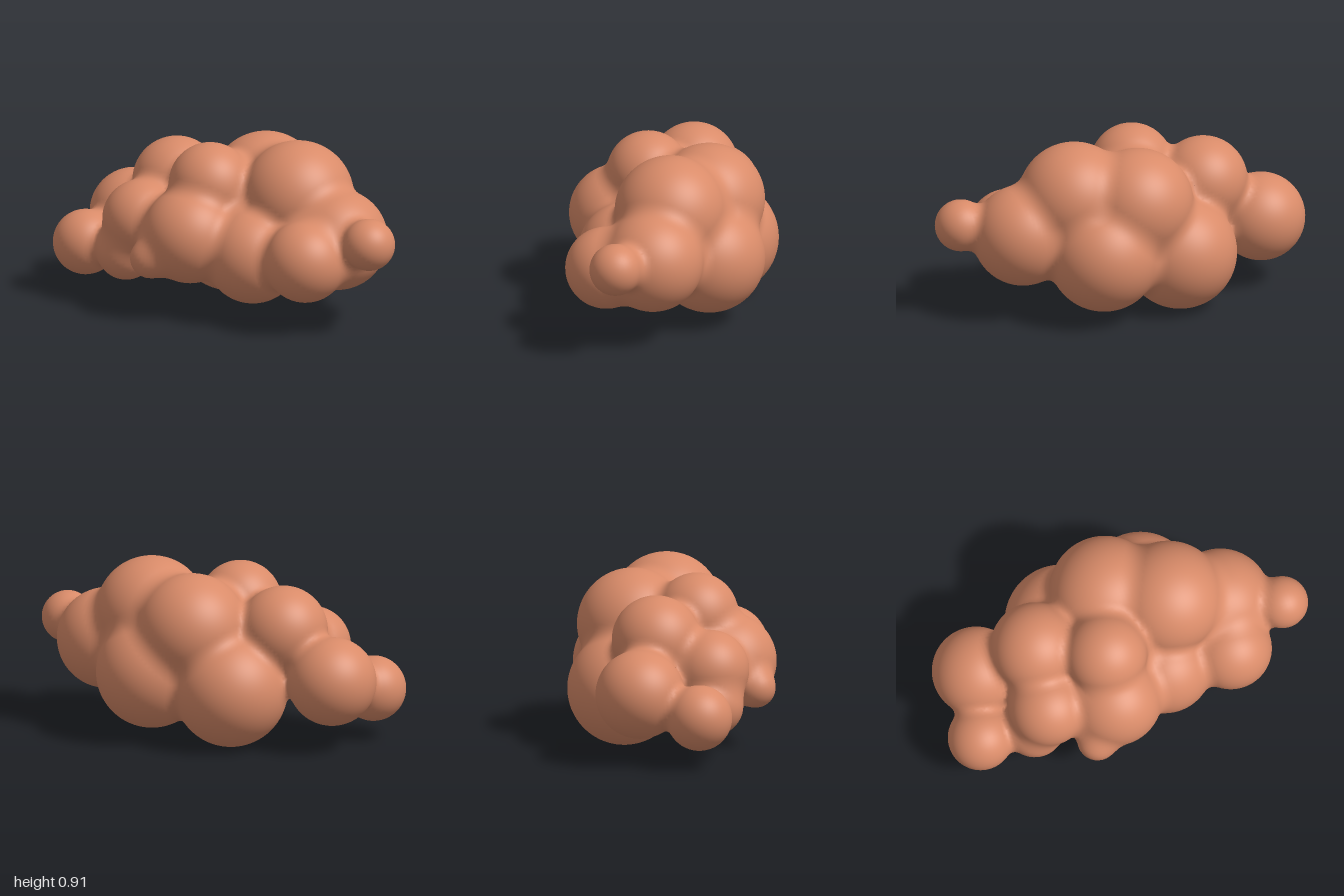
import * as THREE from 'three';

// Puffs of the cloud: x, y, z, radius
const puffs = [
  [0.865, 0.49, 0.135, 0.135],   // right tip
  [-0.83, 0.264, 0.18, 0.17],    // left tip
  [-0.73, 0.365, -0.135, 0.23],  // left back
  [-0.21, 0.295, -0.25, 0.295],  // lower back
  [0.23, 0.35, -0.255, 0.29],
  [0.02, 0.59, -0.22, 0.29],     // upper back
  [0.31, 0.62, -0.065, 0.29],    // crown
  [-0.11, 0.67, 0.12, 0.215],
  [-0.43, 0.595, -0.07, 0.23],
  [-0.47, 0.45, 0.21, 0.205],    // front row
  [-0.55, 0.275, 0.235, 0.155],
  [-0.28, 0.32, 0.435, 0.105],
  [-0.13, 0.43, 0.285, 0.25],
  [0.19, 0.345, 0.185, 0.25],
  [0.54, 0.375, 0.235, 0.213],
  [0.58, 0.44, -0.015, 0.262],   // right shoulder
  [0, 0.45, 0, 0.27],            // core
];
const BLEND = 0.06;

// Distance to the softly merged puffs
function field(x, y, z) {
  let d = 10;
  for (const [px, py, pz, r] of puffs) {
    const s = Math.hypot(x - px, y - py, z - pz) - r;
    const h = Math.max(BLEND - Math.abs(d - s), 0);
    d = Math.min(d, s) - (h * h) / (4 * BLEND);
  }
  return d;
}

function gradient(x, y, z) {
  const e = 0.002;
  return new THREE.Vector3(
    field(x + e, y, z) - field(x - e, y, z),
    field(x, y + e, z) - field(x, y - e, z),
    field(x, y, z + e) - field(x, y, z - e),
  ).normalize();
}

// Grid skin: one vertex per surface cell, one quad per crossed grid edge
function skin(h, min, size) {
  const [nx, ny, nz] = size.map((s) => Math.ceil(s / h));
  const step = [1, nx, nx * ny];
  const at = (i, j, k) => i + j * step[1] + k * step[2];
  const values = new Float32Array(nx * ny * nz);
  for (let k = 0; k < nz; k++)
    for (let j = 0; j < ny; j++)
      for (let i = 0; i < nx; i++)
        values[at(i, j, k)] = field(min[0] + i * h, min[1] + j * h, min[2] + k * h);

  const positions = [], normals = [], indices = [], made = new Map();
  // Pull a cell's centre onto the surface
  const vertex = (cell) => {
    if (made.has(cell)) return made.get(cell);
    const i = cell % nx, j = Math.floor(cell / nx) % ny, k = Math.floor(cell / step[2]);
    const p = new THREE.Vector3(min[0] + (i + 0.5) * h, min[1] + (j + 0.5) * h, min[2] + (k + 0.5) * h);
    for (let n = 0; n < 4; n++) p.addScaledVector(gradient(p.x, p.y, p.z), -field(p.x, p.y, p.z));
    positions.push(p.x, p.y, p.z);
    normals.push(...gradient(p.x, p.y, p.z).toArray());
    made.set(cell, made.size);
    return made.size - 1;
  };

  for (let k = 1; k < nz - 1; k++)
    for (let j = 1; j < ny - 1; j++)
      for (let i = 1; i < nx - 1; i++) {
        const p = at(i, j, k);
        for (let a = 0; a < 3; a++) {
          const inside = values[p] < 0;
          if (inside === values[p + step[a]] < 0) continue;
          const b = step[(a + 1) % 3], c = step[(a + 2) % 3];
          const q = [p - b - c, p - c, p, p - b].map(vertex);
          if (!inside) q.reverse();
          indices.push(q[0], q[1], q[2], q[0], q[2], q[3]);
        }
      }

  const geometry = new THREE.BufferGeometry();
  geometry.setAttribute('position', new THREE.Float32BufferAttribute(positions, 3));
  geometry.setAttribute('normal', new THREE.Float32BufferAttribute(normals, 3));
  geometry.setIndex(indices);
  return geometry;
}

export function createModel() {
  const clay = new THREE.MeshStandardMaterial({ color: 0xd98b69 });
  clay.name = 'clay';
  const cloud = new THREE.Mesh(skin(0.02, [-1.06, -0.06, -0.62], [2.14, 1.06, 1.24]), clay);
  cloud.name = 'cloudBody';
  const group = new THREE.Group();
  group.name = 'cloud';
  group.add(cloud);
  return group;
}
